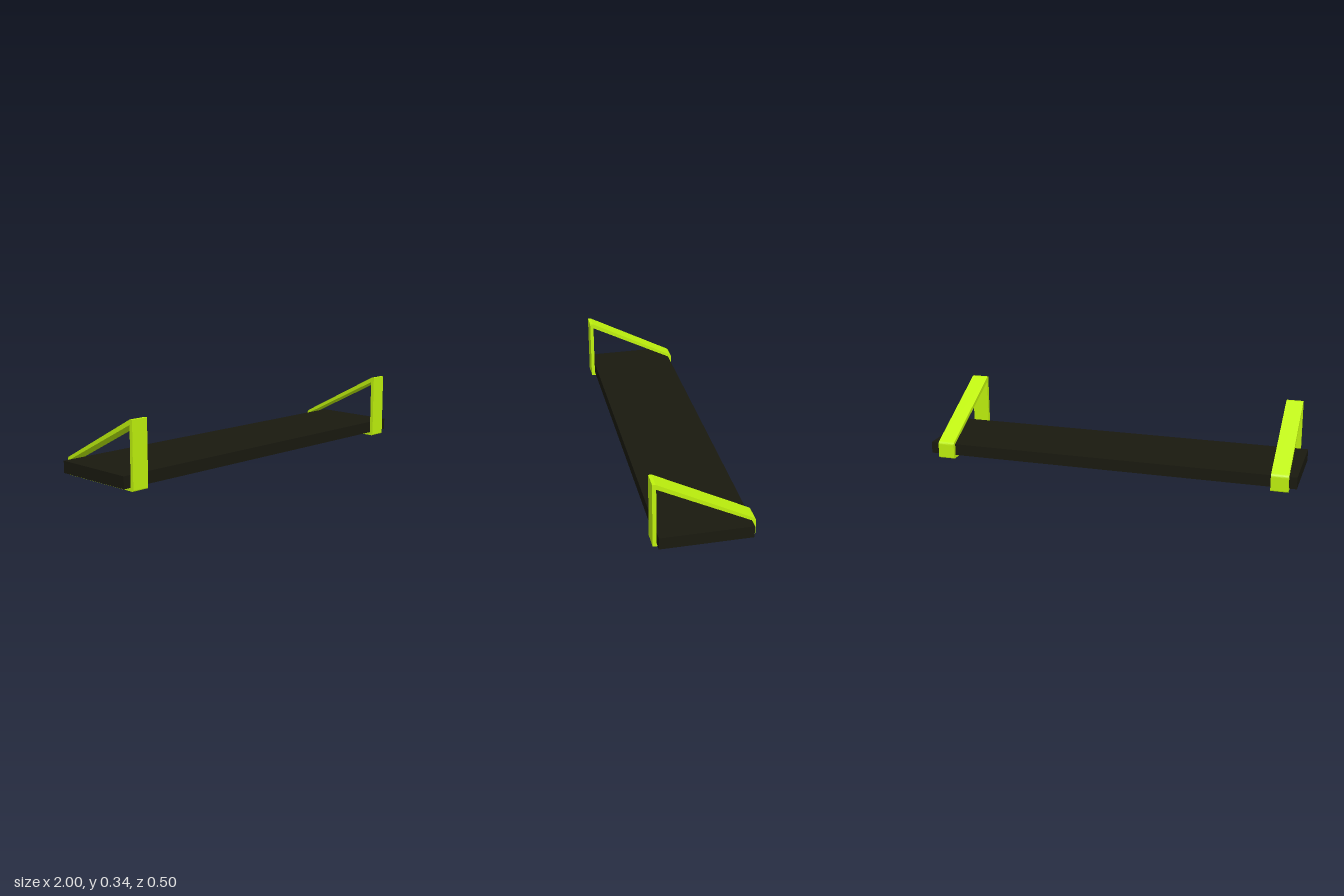
import * as THREE from 'three';

const BRACKET_WIDTH = 0.09;

// Closed strap profile, drawn in (z, y), with a hole that holds the board
function bracketGeometry() {
  const r = 0.008;
  const s = new THREE.Shape();
  s.moveTo(0.25 - r, 0);
  s.quadraticCurveTo(0.25, 0, 0.25, r);
  s.lineTo(0.25, 0.341);
  s.lineTo(0.234, 0.341);
  s.lineTo(-0.238, 0.093);
  s.quadraticCurveTo(-0.25, 0.087, -0.25, 0.076);
  s.lineTo(-0.25, r);
  s.quadraticCurveTo(-0.25, 0, -0.25 + r, 0);
  s.closePath();

  const hole = new THREE.Path();
  hole.moveTo(0.231, 0.017);
  hole.lineTo(-0.23, 0.017);
  hole.lineTo(-0.23, 0.079);
  hole.lineTo(0.231, 0.314);
  hole.closePath();
  s.holes.push(hole);

  const g = new THREE.ExtrudeGeometry(s, { depth: BRACKET_WIDTH, bevelEnabled: false, curveSegments: 5 });
  g.translate(0, 0, -BRACKET_WIDTH / 2);
  g.rotateY(-Math.PI / 2); // profile x becomes z
  return g;
}

export function createModel() {
  const group = new THREE.Group();
  group.name = 'wallShelf';

  // Shelf board
  const board = new THREE.Mesh(
    new THREE.BoxGeometry(2, 0.062, 0.46),
    new THREE.MeshStandardMaterial({ color: 0x19190f })
  );
  board.name = 'shelfBoard';
  board.position.y = 0.048;
  group.add(board);

  // Brackets wrapped around the board near each end
  const geometry = bracketGeometry();
  const lime = new THREE.MeshStandardMaterial({ color: 0xbff20d });
  for (const [name, x] of [['leftBracket', 0.905], ['rightBracket', -0.915]]) {
    const bracket = new THREE.Mesh(geometry, lime);
    bracket.name = name;
    bracket.position.x = x;
    group.add(bracket);
  }
  return group;
}
